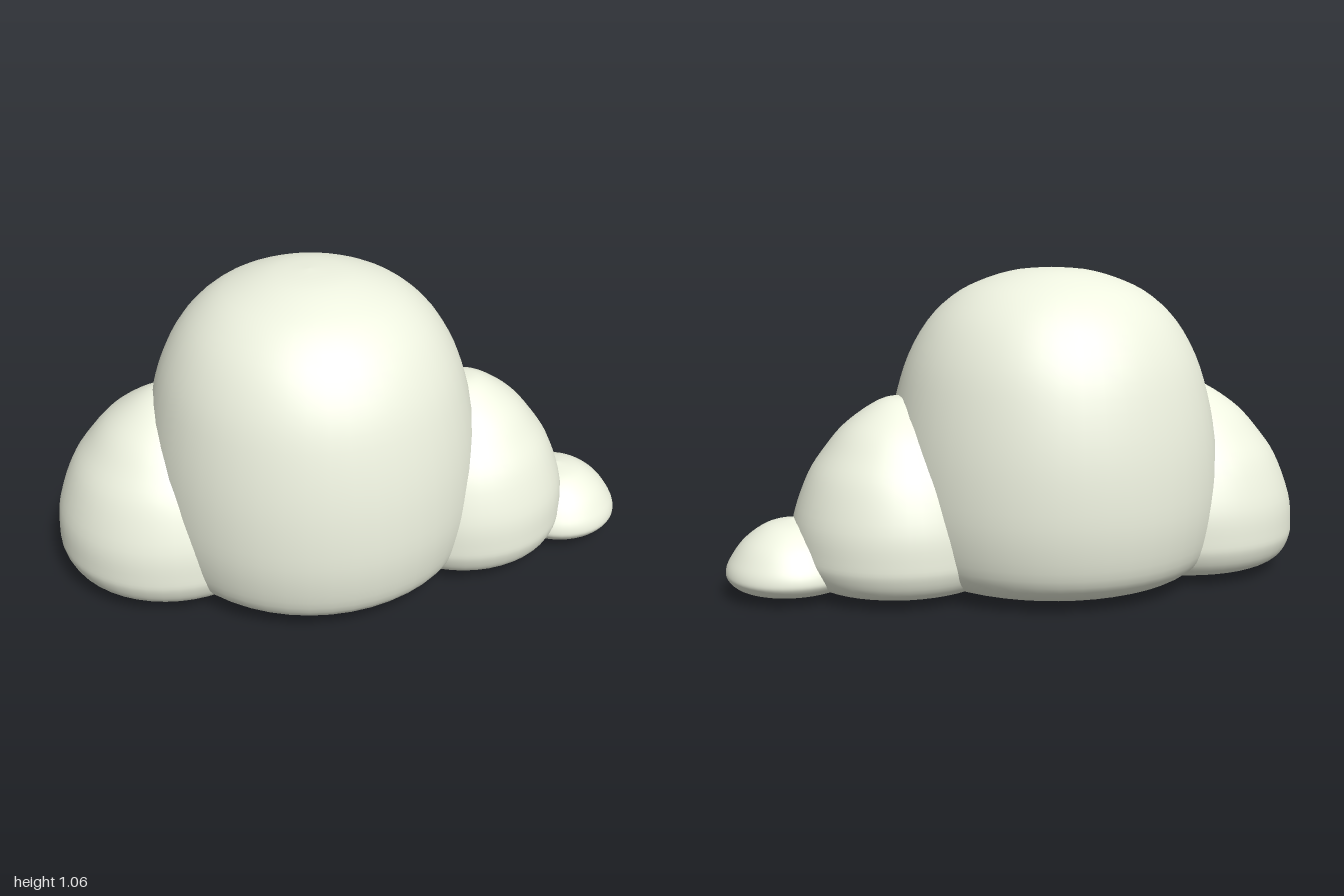
import * as THREE from 'three';

const material = new THREE.MeshStandardMaterial({ color: 0xeef2e0 });

// A soft round puff: a smooth curve through [radius, height] points, turned about y
function puff(name, x, profile, scaleR = 1, scaleY = 1) {
  const curve = new THREE.SplineCurve(
    profile.map(([r, y]) => new THREE.Vector2(r * scaleR, y * scaleY)));
  const points = curve.getPoints(48);
  points.forEach(p => { p.x = Math.max(p.x, 0); });
  const mesh = new THREE.Mesh(new THREE.LatheGeometry(points, 48), material);
  mesh.name = name;
  mesh.position.x = x;
  return mesh;
}

// Profiles run from the nearly flat underside up to the crown
const tall = [
  [0, 0.005], [0.15, 0.008], [0.32, 0.015], [0.42, 0.025], [0.49, 0.05],
  [0.54, 0.1], [0.565, 0.19], [0.575, 0.31], [0.565, 0.47], [0.535, 0.63],
  [0.49, 0.77], [0.42, 0.89], [0.33, 0.975], [0.23, 1.025], [0.12, 1.056], [0, 1.065],
];
const medium = [
  [0, 0.014], [0.2, 0.02], [0.29, 0.032], [0.34, 0.06], [0.365, 0.11],
  [0.369, 0.16], [0.358, 0.26], [0.31, 0.39], [0.25, 0.48], [0.19, 0.55],
  [0.11, 0.61], [0.05, 0.64], [0, 0.645],
];
const small = [
  [0, 0.02], [0.13, 0.027], [0.185, 0.04], [0.213, 0.065], [0.219, 0.09],
  [0.203, 0.13], [0.157, 0.19], [0.085, 0.238], [0, 0.255],
];

export function createModel() {
  const cloud = new THREE.Group();
  cloud.name = 'cloud';
  cloud.add(
    puff('mainPuff', -0.115, tall),
    puff('rightPuff', -0.6, medium, 1.085, 1.03),
    puff('leftPuff', 0.415, medium),
    puff('leftSmallPuff', 0.78, small),
  );
  return cloud;
}
